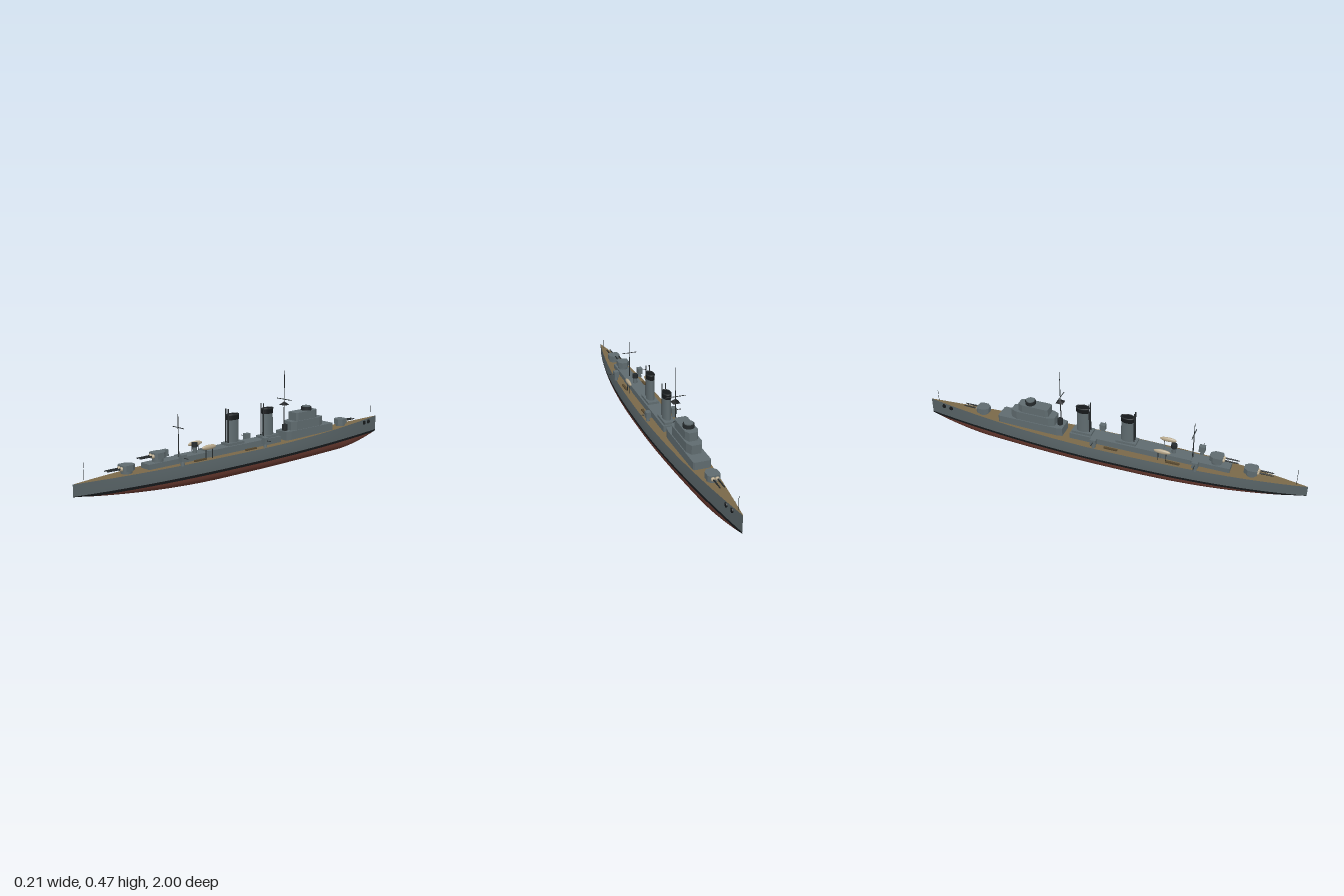
import * as THREE from 'three';

const mat = (color) => new THREE.MeshStandardMaterial({ color });
const M = {
  grey: mat(0x5f6b6f), hull: mat(0x566164), dark: mat(0x24292b), black: mat(0x15181a),
  red: mat(0x66382e), deck: mat(0x796849), wood: mat(0x57482f), cream: mat(0xb5a68a),
};

// Hull lines: the bow points to -z, the stern to +z
const WATER = 0.05, BOOT = 0.062;
const beam = (z) => 0.0005 + 0.087 * Math.max(0, 1 - Math.abs(z) ** (z > 0 ? 2.6 : 1.8));
const deckY = (z) => 0.117 + (z < 0 ? 0.025 * z * z : -0.002 * z * z);
const keelY = (z) => 0.003 + (z > 0.2 ? 0.057 * ((z - 0.2) / 0.8) ** 2
  : z < -0.65 ? 0.052 * ((-z - 0.65) / 0.35) ** 1.7 : 0);
function halfWidth(z, y) {
  const k = keelY(z);
  if (y >= BOOT) return beam(z) * (1 - 0.09 * ((y - BOOT) / (deckY(z) - BOOT)) ** 1.6);
  const t = THREE.MathUtils.clamp((y - k) / (BOOT - k), 0, 1);
  return beam(z) * (1 - (1 - t) ** 3) ** (1 / 3);
}

// Skin through cross-sections along the ship; section(z, u) gives [x, y] for u in 0..1
function loft(section, n, stations = 80) {
  const pos = [], idx = [];
  for (let j = 0; j <= stations; j++) {
    const z = -Math.cos((j / stations) * Math.PI) * 0.5 + (j / stations - 0.5);
    for (let i = 0; i <= n; i++) pos.push(...section(z, i / n), z);
  }
  for (let j = 0; j < stations; j++) for (let i = 0; i < n; i++) {
    const a = j * (n + 1) + i, c = a + n + 1;
    idx.push(a, a + 1, c, a + 1, c + 1, c);
  }
  const g = new THREE.BufferGeometry();
  g.setAttribute('position', new THREE.Float32BufferAttribute(pos, 3));
  g.setIndex(idx);
  g.computeVertexNormals();
  return g;
}

function add(parent, name, geo, material, x = 0, y = 0, z = 0) {
  const m = new THREE.Mesh(geo, material);
  m.name = name;
  m.position.set(x, y, z);
  parent.add(m);
  return m;
}
const box = (p, name, m, w, y0, y1, z0, z1, x = 0) =>
  add(p, name, new THREE.BoxGeometry(w, y1 - y0, z1 - z0), m, x, (y0 + y1) / 2, (z0 + z1) / 2);
const post = (p, name, m, r0, r1, y0, y1, x, z, seg = 16) =>
  add(p, name, new THREE.CylinderGeometry(r1, r0, y1 - y0, seg), m, x, (y0 + y1) / 2, z);

// Block with chamfered corners: cf at the bow end, ca at the stern end
function block(p, name, m, w, y0, y1, z0, z1, cf, ca) {
  const pts = [[-w + cf[0], z0], [w - cf[0], z0], [w, z0 + cf[1]], [w, z1 - ca[1]],
    [w - ca[0], z1], [-w + ca[0], z1], [-w, z1 - ca[1]], [-w, z0 + cf[1]]];
  const s = new THREE.Shape(pts.map(([x, z]) => new THREE.Vector2(x, -z)));
  const g = new THREE.ExtrudeGeometry(s, { depth: y1 - y0, bevelEnabled: false });
  g.rotateX(-Math.PI / 2);
  return add(p, name, g, m, 0, y0, 0);
}

function createHull(ship) {
  const hull = new THREE.Group();
  hull.name = 'hull';
  ship.add(hull);
  add(hull, 'underwaterHull', loft((z, u) => {
    const k = keelY(z), top = Math.max(k, WATER), a = (u * 2 - 1) * Math.PI / 2;
    const y = k + (top - k) * (1 - Math.cos(a) ** (2 / 3));
    return [Math.sign(a) * halfWidth(z, y), y];
  }, 32), M.red);
  for (const s of [-1, 1]) {
    const band = (lo, hi) => (z, u) => {
      const y = THREE.MathUtils.lerp(Math.max(lo, keelY(z)), hi(z), s > 0 ? u : 1 - u);
      return [s * halfWidth(z, y), y];
    };
    add(hull, 'bootTopping', loft(band(WATER, () => BOOT), 2), M.black);
    add(hull, 'hullSide', loft(band(BOOT, deckY), 6), M.hull);
    // Hawse discs near the bow
    for (const z of [-0.875, -0.92]) {
      const d = add(hull, 'hawseHole', new THREE.CylinderGeometry(0.011, 0.011, 0.006, 20), M.black,
        s * halfWidth(z, 0.12), 0.12, z);
      d.rotation.set(0, -s * 0.14, Math.PI / 2);
    }
  }
  add(hull, 'deck', loft((z, u) => [(1 - 2 * u) * halfWidth(z, deckY(z)), deckY(z)], 2), M.deck);
}

// Twin gun mount firing toward local +z
function createMainGun(ship, y, z, turn) {
  const gun = new THREE.Group();
  gun.name = 'mainGun';
  gun.position.set(0, y, z);
  gun.rotation.y = turn;
  ship.add(gun);
  post(gun, 'gunBase', M.grey, 0.026, 0.026, -0.01, 0.012, 0, 0, 20);
  block(gun, 'gunShield', M.grey, 0.03, 0.01, 0.037, -0.035, 0.03, [0.016, 0.02], [0.008, 0.01]);
  for (const x of [-0.01, 0.01]) {
    add(gun, 'blastBag', new THREE.SphereGeometry(0.01, 16, 10), M.cream, x, 0.022, 0.031);
    const barrel = add(gun, 'gunBarrel', new THREE.CylinderGeometry(0.003, 0.004, 0.085, 10), M.dark, x, 0.023, 0.063);
    barrel.rotation.x = Math.PI / 2;
  }
}

function createFunnel(ship, z) {
  const f = new THREE.Group();
  f.name = 'funnel';
  f.position.z = z;
  ship.add(f);
  box(f, 'funnelBase', M.grey, 0.056, 0.14, 0.16, -0.052, 0.052);
  const oval = [
    post(f, 'funnelTrunk', M.grey, 0.034, 0.032, 0.155, 0.275, 0, 0, 28),
    post(f, 'funnelCap', M.black, 0.035, 0.035, 0.27, 0.293, 0, 0, 28),
    post(f, 'funnelMouth', M.black, 0.028, 0.028, 0.293, 0.296, 0, 0, 28),
  ];
  const rim = add(f, 'funnelRim', new THREE.TorusGeometry(0.033, 0.004, 8, 28).rotateX(Math.PI / 2), M.dark, 0, 0.294, 0);
  [...oval, rim].forEach((m) => { m.scale.x = 0.6; });
  for (const x of [-0.009, 0.009]) post(f, 'steamPipe', M.dark, 0.003, 0.003, 0.15, 0.325, x, 0.037, 8);
}

function createMast(ship, z, top, yardY, halfYard) {
  post(ship, 'mast', M.dark, 0.0035, 0.0012, 0.13, top, 0, z, 8);
  const yard = add(ship, 'yard', new THREE.CylinderGeometry(0.002, 0.002, halfYard * 2, 8), M.dark, 0, yardY, z);
  yard.rotation.z = Math.PI / 2;
}

function createBridge(ship) {
  const b = new THREE.Group();
  b.name = 'bridge';
  ship.add(b);
  block(b, 'bridgeLower', M.grey, 0.043, 0.11, 0.163, -0.585, -0.23, [0.006, 0.008], [0.006, 0.03]);
  block(b, 'bridgeMiddle', M.grey, 0.038, 0.163, 0.208, -0.515, -0.275, [0.014, 0.035], [0.012, 0.03]);
  block(b, 'bridgeUpper', M.grey, 0.032, 0.208, 0.25, -0.475, -0.31, [0.012, 0.025], [0.006, 0.012]);
  post(b, 'director', M.dark, 0.027, 0.027, 0.25, 0.268, 0, -0.415, 20);
  post(b, 'directorTop', M.grey, 0.022, 0.022, 0.268, 0.273, 0, -0.415, 20);
  post(b, 'signalPlatform', M.dark, 0.014, 0.014, 0.16, 0.195, 0, -0.255, 16);
}

export function createModel() {
  const ship = new THREE.Group();
  ship.name = 'warship';
  createHull(ship);
  createBridge(ship);

  // Long deckhouse
  box(ship, 'midDeckhouse', M.grey, 0.074, 0.11, 0.148, -0.19, 0.29);
  box(ship, 'searchlightDeckhouse', M.grey, 0.068, 0.11, 0.143, 0.29, 0.44);
  box(ship, 'aftDeckhouse', M.grey, 0.062, 0.11, 0.14, 0.44, 0.63);

  createFunnel(ship, 0.105);
  createFunnel(ship, -0.13);

  createMainGun(ship, 0.118, 0.73, 0);
  createMainGun(ship, 0.146, 0.56, 0);
  createMainGun(ship, 0.13, -0.69, Math.PI);

  // Masts, lookout and flagstaffs
  createMast(ship, -0.25, 0.473, 0.326, 0.05);
  createMast(ship, 0.44, 0.34, 0.277, 0.041);
  add(ship, 'lookout', new THREE.ConeGeometry(0.026, 0.018, 4).rotateY(Math.PI / 4), M.black, 0, 0.306, -0.25);
  post(ship, 'sternStaff', M.dark, 0.001, 0.001, 0.11, 0.2, 0, 0.945, 6);
  post(ship, 'bowStaff', M.dark, 0.001, 0.001, 0.135, 0.205, 0, -0.955, 6);

  // Searchlight
  post(ship, 'searchlightStand', M.grey, 0.011, 0.011, 0.14, 0.172, 0, 0.345);
  post(ship, 'searchlight', M.dark, 0.015, 0.015, 0.172, 0.192, 0, 0.345);

  for (const s of [-1, 1]) {
    // Boats on davits
    const boat = add(ship, 'boat', new THREE.SphereGeometry(1, 20, 14), M.cream, s * 0.052, 0.172, 0.3);
    boat.scale.set(0.009, 0.012, 0.043);
    for (const z of [0.28, 0.32]) post(ship, 'davit', M.dark, 0.002, 0.002, 0.115, 0.168, s * 0.052, z, 8);
    // Rafts on the deck
    for (const z of [0.035, 0.355]) box(ship, 'raft', M.wood, 0.011, 0.115, 0.124, z - 0.035, z + 0.035, s * 0.055);
    // Side guns
    for (const z of [-0.05, 0.47]) {
      post(ship, 'sideGunBase', M.grey, 0.01, 0.008, 0.115, 0.138, s * 0.067, z, 12);
      box(ship, 'sideGunShield', M.grey, 0.025, 0.136, 0.167, z - 0.015, z + 0.015, s * 0.067);
      const barrel = add(ship, 'sideGunBarrel', new THREE.CylinderGeometry(0.0018, 0.0018, 0.04, 8), M.dark, s * 0.086, 0.152, z);
      barrel.rotation.z = Math.PI / 2;
    }
  }
  return ship;
}
